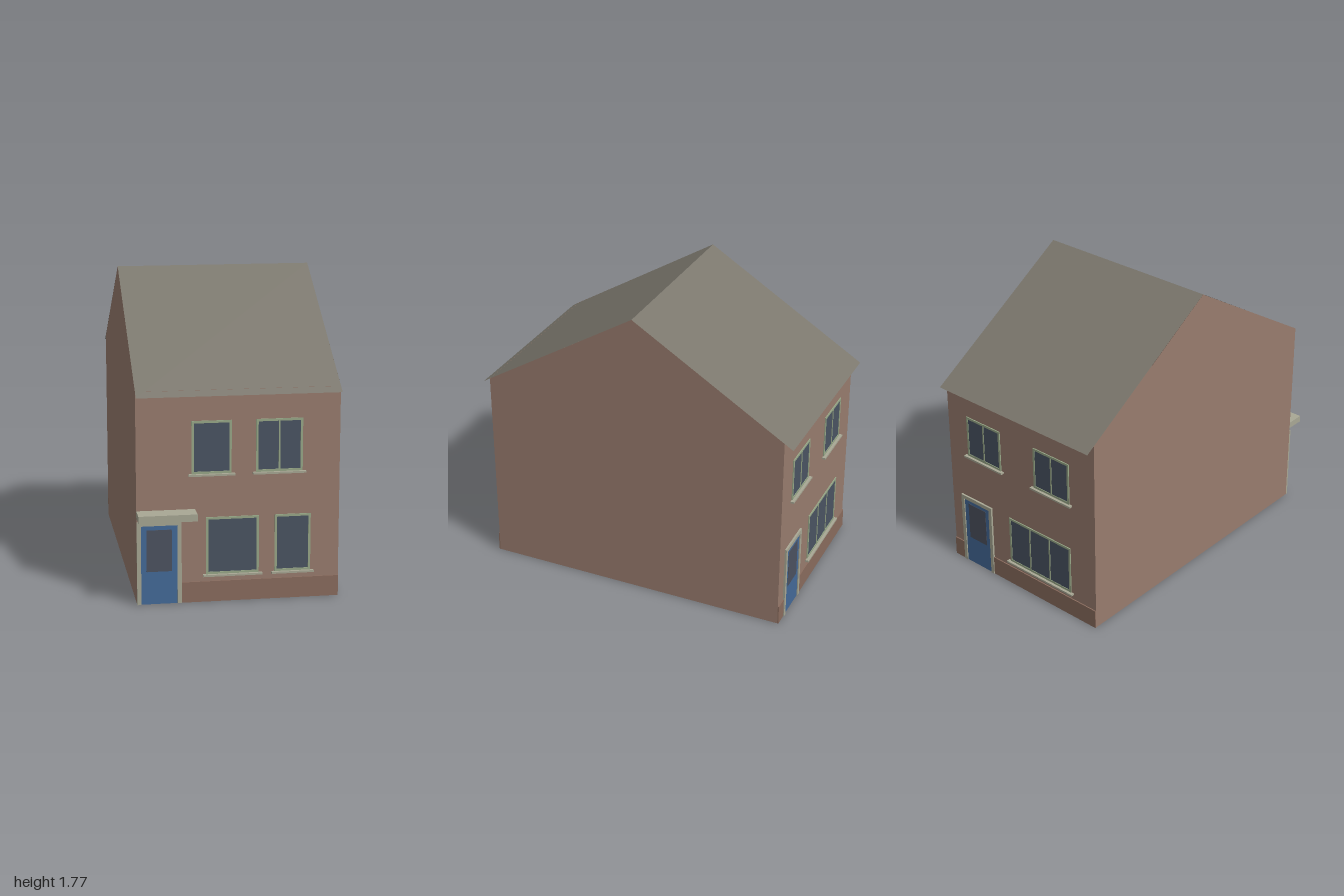
import * as THREE from 'three';

const W = 1.134, EAVE = 1.2, RIDGE = 1.765, FRONT = 0.89, BACK = -0.945;
const MID = (FRONT + BACK) / 2 - 0.005;

const mat = (color, side = THREE.FrontSide) => new THREE.MeshStandardMaterial({ color, side });
const M = {
  wall: mat(0x987c6e, THREE.DoubleSide),
  plinth: mat(0x8a6c5e),
  roof: mat(0x7b776d, THREE.DoubleSide),
  frame: mat(0x98a888),
  stone: mat(0xa8a794),
  glass: mat(0x4a5462),
  door: mat(0x446a98),
  doorGlass: mat(0x4c5260),
};

function add(parent, name, geometry, material, x = 0, y = 0, z = 0) {
  const mesh = new THREE.Mesh(geometry, material);
  mesh.name = name;
  mesh.position.set(x, y, z);
  parent.add(mesh);
  return mesh;
}

// Box given by its x, y and z ranges
function box(parent, name, material, x0, x1, y0, y1, z0, z1) {
  return add(parent, name, new THREE.BoxGeometry(x1 - x0, y1 - y0, z1 - z0), material,
    (x0 + x1) / 2, (y0 + y1) / 2, (z0 + z1) / 2);
}

const rect = (x0, x1, y0, y1, Type = THREE.Shape) => new Type([
  new THREE.Vector2(x0, y0), new THREE.Vector2(x1, y0),
  new THREE.Vector2(x1, y1), new THREE.Vector2(x0, y1)]);

// Framed window with equal panes and a projecting sill; the wall is at z = 0
function addWindow(parent, x0, x1, y0, y1, panes) {
  const g = new THREE.Group();
  g.name = 'window';
  const t = 0.013, bar = 0.009;
  const paneW = (x1 - x0 - 2 * t - (panes - 1) * bar) / panes;
  const frame = rect(x0, x1, y0, y1);
  for (let i = 0; i < panes; i++) {
    const left = x0 + t + i * (paneW + bar);
    frame.holes.push(rect(left, left + paneW, y0 + t, y1 - t, THREE.Path));
  }
  add(g, 'windowFrame', new THREE.ExtrudeGeometry(frame, { depth: 0.006, bevelEnabled: false }), M.frame);
  add(g, 'windowGlass', new THREE.PlaneGeometry(x1 - x0 - t, y1 - y0 - t), M.glass,
    (x0 + x1) / 2, (y0 + y1) / 2, 0.003);
  box(g, 'windowSill', M.stone, x0 - 0.018, x1 + 0.018, y0 - 0.011, y0, 0, 0.022);
  parent.add(g);
}

// Door with a glazed panel and a stone surround
function addDoor(parent, cx, top) {
  const g = new THREE.Group();
  g.name = 'door';
  g.position.x = cx;
  const half = 0.124, inner = 0.101, head = top - 0.023;
  const surround = new THREE.Shape([
    [-half, 0], [-inner, 0], [-inner, head], [inner, head],
    [inner, 0], [half, 0], [half, top], [-half, top],
  ].map(([x, y]) => new THREE.Vector2(x, y)));
  add(g, 'doorSurround', new THREE.ExtrudeGeometry(surround, { depth: 0.012, bevelEnabled: false }), M.stone);
  box(g, 'doorLeaf', M.door, -inner, inner, 0, head, 0, 0.006);
  box(g, 'doorGlass', M.doorGlass, -0.07, 0.07, head - 0.263, head - 0.025, 0.004, 0.008);
  parent.add(g);
}

// One facade: wall, plinth broken by the door, door and windows
function makeFacade(name, doorX, doorTop, windows) {
  const g = new THREE.Group();
  g.name = name;
  add(g, 'facadeWall', new THREE.PlaneGeometry(W, EAVE), M.wall, 0, EAVE / 2, 0);
  for (const [a, b] of [[-W / 2, doorX - 0.124], [doorX + 0.124, W / 2]]) {
    if (b - a > 0.01) box(g, 'plinth', M.plinth, a, b, 0, 0.117, 0, 0.007);
  }
  addDoor(g, doorX, doorTop);
  windows.forEach((w) => addWindow(g, ...w));
  return g;
}

export function createModel() {
  const house = new THREE.Group();
  house.name = 'house';

  const front = makeFacade('frontFacade', -0.443, 0.473, [
    [-0.262, -0.04, 0.733, 1.03, 1],
    [0.096, 0.357, 0.733, 1.03, 2],
    [-0.182, 0.114, 0.158, 0.485, 1],
    [0.203, 0.406, 0.158, 0.485, 1],
  ]);
  box(front, 'doorCanopy', M.stone, -W / 2, -0.243, 0.495, 0.535, 0, 0.11);
  front.position.z = FRONT;

  const back = makeFacade('backFacade', -0.364, 0.463, [
    [-0.414, -0.148, 0.757, 1.016, 2],
    [0.112, 0.381, 0.757, 1.016, 2],
    [-0.098, 0.381, 0.158, 0.46, 3],
  ]);
  back.rotation.y = Math.PI;
  back.position.z = BACK;
  house.add(front, back);

  // Gable walls, drawn in (-z, y) and turned to face sideways
  const gable = new THREE.Shape([
    [-FRONT, 0], [-BACK, 0], [-BACK, EAVE], [-MID, RIDGE], [-FRONT, EAVE],
  ].map(([x, y]) => new THREE.Vector2(x, y)));
  for (const side of [-1, 1]) {
    add(house, side > 0 ? 'leftGable' : 'rightGable', new THREE.ShapeGeometry(gable), M.wall,
      side * W / 2).rotation.y = Math.PI / 2;
  }

  // Thin roof slopes that run past the walls at the eaves
  for (const side of [-1, 1]) {
    const run = 0.965, rise = RIDGE - 1.172;
    const slope = add(house, side > 0 ? 'frontRoof' : 'backRoof',
      new THREE.PlaneGeometry(W, Math.hypot(run, rise)), M.roof,
      0, RIDGE - rise / 2 + 0.001, MID + side * run / 2);
    slope.rotation.order = 'YXZ';
    slope.rotation.set(-Math.atan2(run, rise), side > 0 ? 0 : Math.PI, 0);
  }
  return house;
}
